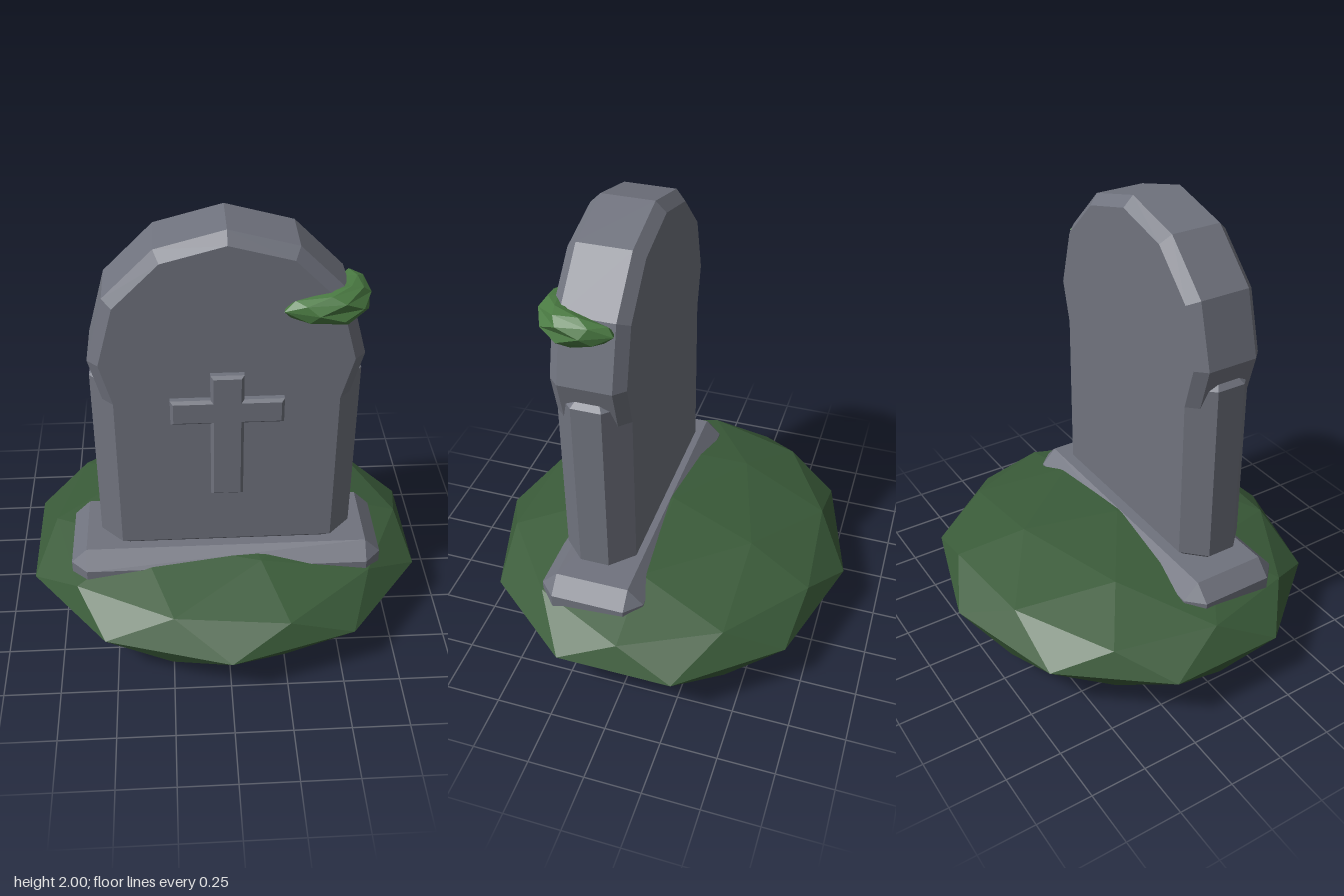
import * as THREE from 'three';
import { ConvexGeometry } from 'three/addons/geometries/ConvexGeometry.js';

// Faceted normals for any geometry
function faceted(geometry) {
  const flat = geometry.index ? geometry.toNonIndexed() : geometry;
  flat.computeVertexNormals();
  return flat;
}

// Low-poly ball with a vertex at each pole
function polyBall() {
  return new THREE.IcosahedronGeometry(1, 1).rotateZ(-Math.atan(2 / (1 + Math.sqrt(5))));
}

// Chamfered block from stacked rectangles with cut corners: [y, halfWidth, halfDepth, cut]
function chamferedBlock(rings) {
  const points = [];
  for (const [y, w, d, cut] of rings) {
    for (const sx of [-1, 1]) {
      for (const sz of [-1, 1]) {
        points.push(new THREE.Vector3(sx * w, y, sz * (d - cut)));
        if (cut > 0) points.push(new THREE.Vector3(sx * (w - cut), y, sz * d));
      }
    }
  }
  return new ConvexGeometry(points);
}

export function createModel() {
  const group = new THREE.Group();
  const material = (name, color) => {
    const m = new THREE.MeshStandardMaterial({ color });
    m.name = name;
    return m;
  };
  const stone = material('grey stone', 0x70737e);
  const grass = material('dark grass', 0x3a5b39);
  const moss = material('moss green', 0x4a7a42);

  const add = (name, geometry, mat, x = 0, y = 0, z = 0) => {
    const mesh = new THREE.Mesh(geometry, mat);
    mesh.name = name;
    mesh.position.set(x, y, z);
    group.add(mesh);
  };

  // Flattened earth mound
  add('mound', faceted(polyBall().scale(0.926, 0.235, 0.835)), grass, 0, 0.235, 0);

  // Plinth half sunk in the mound
  add('plinth', chamferedBlock([
    [0.2, 0.625, 0.165, 0],
    [0.27, 0.695, 0.235, 0.07],
    [0.4, 0.695, 0.235, 0.07],
    [0.47, 0.625, 0.165, 0],
  ]), stone, 0, 0, 0.18);

  // Upright slab
  add('slab', chamferedBlock([
    [0.47, 0.505, 0.11, 0.075],
    [0.52, 0.555, 0.16, 0.095],
    [1.345, 0.555, 0.16, 0.095],
    [1.395, 0.505, 0.11, 0.075],
  ]), stone, 0, 0, 0.19);

  // Twelve-sided rounded head with chamfered rims
  const rim = [[0, -0.16], [0.51, -0.16], [0.555, -0.115], [0.555, 0.115], [0.51, 0.16], [0, 0.16]]
    .map(([r, h]) => new THREE.Vector2(r, h));
  add('roundedHead', faceted(new THREE.LatheGeometry(rim, 12).rotateX(Math.PI / 2)), stone, 0, 1.447, 0.19);

  // Raised cross, inset by the bevel width
  const b = 0.012;
  const sx = 0.068 - b, ax = 0.232 - b;
  const bottom = 0.797 + b, armLow = 1.168 + b, armHigh = 1.283 - b, top = 1.4 - b;
  const half = [[sx, bottom], [sx, armLow], [ax, armLow], [ax, armHigh], [sx, armHigh], [sx, top]];
  const outline = [...half, ...half.map(([x, y]) => [-x, y]).reverse()];
  const crossShape = new THREE.Shape(outline.map(([x, y]) => new THREE.Vector2(x, y)));
  add('cross', new THREE.ExtrudeGeometry(crossShape, {
    depth: 0.04, bevelEnabled: true, bevelSize: b, bevelThickness: b, bevelSegments: 1,
  }), stone, 0, 0, 0.332);

  // Moss clump: a ball stretched along a curve around the front corner
  const bend = new THREE.QuadraticBezierCurve(
    new THREE.Vector2(0.22, 0.355), new THREE.Vector2(0.595, 0.425), new THREE.Vector2(0.495, 0.08));
  const clump = polyBall();
  const p = clump.attributes.position;
  for (let i = 0; i < p.count; i++) {
    const t = THREE.MathUtils.clamp((p.getX(i) / 0.951 + 1) / 2, 0, 1);
    const c = bend.getPoint(t), d = bend.getTangent(t), side = p.getZ(i) * 0.068;
    p.setXYZ(i, c.x - d.y * side, p.getY(i) * 0.075, c.y + d.x * side);
  }
  add('mossClump', faceted(clump), moss, 0, 1.685, 0);

  return group;
}
